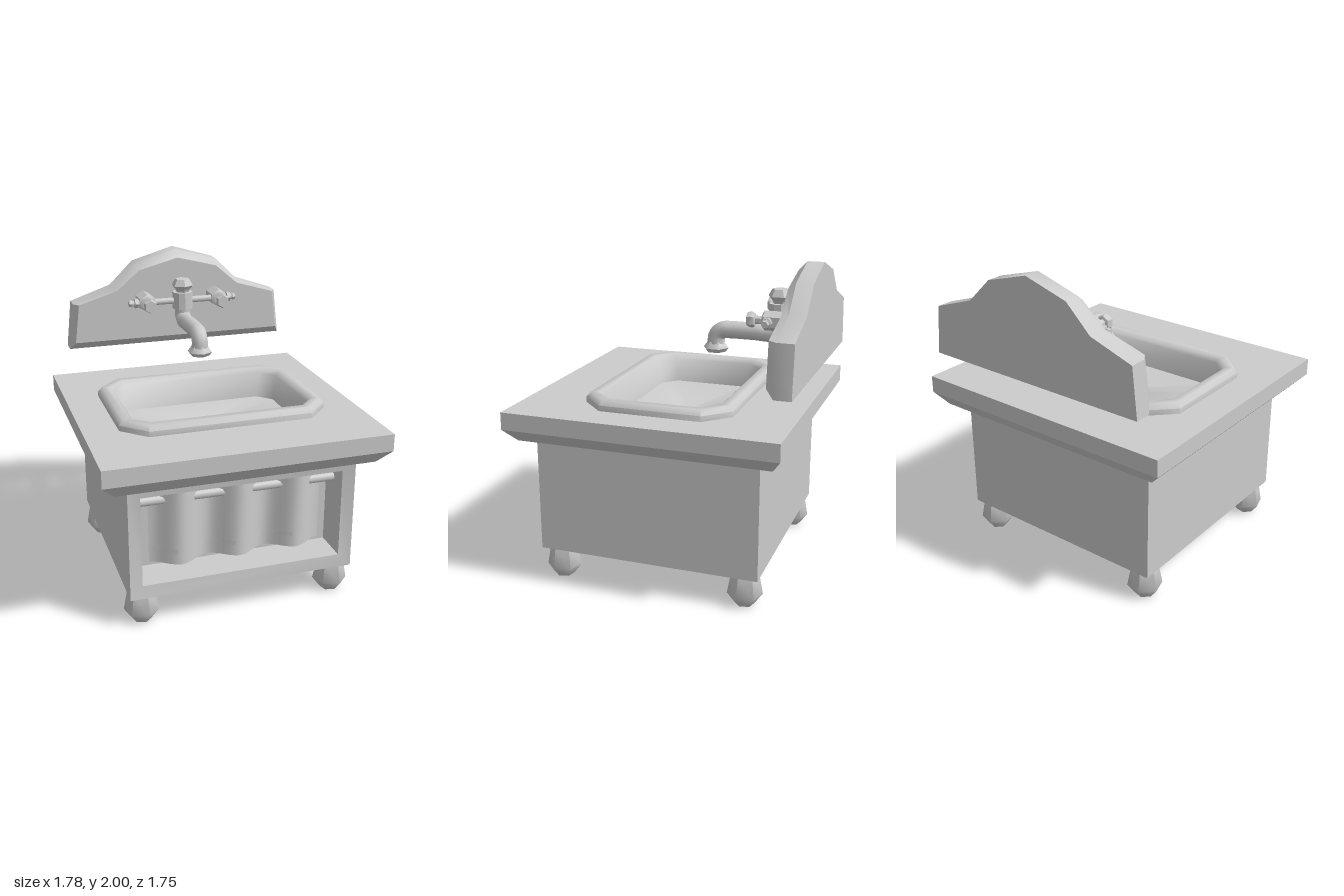
import * as THREE from 'three';
import { toCreasedNormals } from 'three/addons/utils/BufferGeometryUtils.js';

const grey = new THREE.MeshStandardMaterial({ color: 0xcccccc });
const greyDouble = new THREE.MeshStandardMaterial({ color: 0xcccccc, side: THREE.DoubleSide });

function add(parent, name, geometry, x = 0, y = 0, z = 0, material = grey) {
  const mesh = new THREE.Mesh(geometry, material);
  mesh.name = name;
  mesh.position.set(x, y, z);
  parent.add(mesh);
  return mesh;
}

// Skin a series of closed loops with equal point counts; a loop may shrink to one point.
function loft(loops, crease = 0.6) {
  const pos = [];
  const tri = (a, b, c) => {
    const area = new THREE.Triangle(a, b, c).getArea();
    if (area > 1e-8) for (const p of [a, b, c]) pos.push(p.x, p.y, p.z);
  };
  for (let k = 0; k < loops.length - 1; k++) {
    const n = loops[k].length;
    for (let i = 0; i < n; i++) {
      const j = (i + 1) % n;
      const [a, b, c, d] = [loops[k][i], loops[k][j], loops[k + 1][j], loops[k + 1][i]];
      tri(a, d, b);
      tri(b, d, c);
    }
  }
  const geometry = new THREE.BufferGeometry();
  geometry.setAttribute('position', new THREE.Float32BufferAttribute(pos, 3));
  return toCreasedNormals(geometry, crease);
}

// Horizontal rectangle with cut corners.
function cutRect(y, hx, back, front, cut = 0) {
  return [
    [hx, back + cut], [hx, front - cut], [hx - cut, front], [cut - hx, front],
    [-hx, front - cut], [-hx, back + cut], [cut - hx, back], [hx - cut, back],
  ].map(([x, z]) => new THREE.Vector3(x, y, z));
}

// Upright rectangle at depth z.
function uprightRect(z, hx, low, high) {
  return [[-hx, low], [-hx, high], [hx, high], [hx, low]].map(([x, y]) => new THREE.Vector3(x, y, z));
}

// Faceted turned part; points are [radius, height].
function turned(points, sides, crease = 0.6) {
  const geometry = new THREE.LatheGeometry(points.map(([r, y]) => new THREE.Vector2(r, y)), sides);
  return toCreasedNormals(geometry.toNonIndexed(), crease);
}

const waveZ = (x) => 0.6 - 0.045 * Math.cos((2 * Math.PI * (x - 0.19)) / 0.375);

// Sheet that follows the curtain folds.
function foldedSheet(x0, x1, y0, y1, steps, offset = 0) {
  const g = new THREE.PlaneGeometry(x1 - x0, y1 - y0, steps, 1);
  g.translate((x0 + x1) / 2, (y0 + y1) / 2, 0);
  const p = g.attributes.position;
  for (let i = 0; i < p.count; i++) p.setZ(i, waveZ(p.getX(i)) + offset);
  g.computeVertexNormals();
  return g;
}

function makeCabinet() {
  const g = new THREE.Group();
  g.name = 'cabinet';
  // Box with a recessed open front
  add(g, 'cabinetBody', loft([
    uprightRect(-0.69, 0, 0.57, 0.57),
    uprightRect(-0.69, 0.72, 0.2, 0.95),
    uprightRect(0.73, 0.72, 0.2, 0.95),
    uprightRect(0.715, 0.64, 0.28, 0.865),
    uprightRect(0.48, 0.64, 0.28, 0.865),
    uprightRect(0.48, 0, 0.57, 0.57),
  ]));
  // Feet
  const foot = turned([[0, 0], [0.06, 0], [0.11, 0.065], [0.085, 0.2], [0, 0.2]], 6, 0.9);
  for (const x of [-0.63, 0.63]) for (const z of [0.62, -0.59]) {
    add(g, 'foot', foot, x, 0, z).rotation.y = Math.PI / 12;
  }
  // Curtain threaded on a rod, with a row of stitched tabs
  add(g, 'curtainRod', new THREE.CylinderGeometry(0.03, 0.03, 1.28, 8), 0, 0.77, 0.575).rotation.z = Math.PI / 2;
  add(g, 'curtain', foldedSheet(-0.56, 0.56, 0.345, 0.83, 36), 0, 0, 0, greyDouble);
  for (let i = 0; i < 6; i++) {
    const x = -0.47 + i * 0.188;
    add(g, 'curtainTab', foldedSheet(x - 0.067, x + 0.067, 0.42, 0.45, 6, 0.006), 0, 0, 0, greyDouble);
  }
  return g;
}

function makeBasin() {
  const g = new THREE.Group();
  g.name = 'basinTop';
  // Counter slab with a bevelled underside and a hole for the basin
  add(g, 'counter', loft([
    cutRect(0.945, 0.68, -0.65, 0.69),
    cutRect(0.945, 0.81, -0.785, 0.81),
    cutRect(1.03, 0.89, -0.845, 0.875),
    cutRect(1.14, 0.89, -0.845, 0.875),
    cutRect(1.14, 0.63, -0.425, 0.44, 0.13),
  ]));
  // Rounded rim, steep walls and a floor falling to the drain
  const drain = (r, y) => cutRect(y, r, -r, r, r * 0.586);
  add(g, 'sink', loft([
    cutRect(1.13, 0.67, -0.465, 0.48, 0.15),
    cutRect(1.175, 0.67, -0.465, 0.48, 0.15),
    cutRect(1.205, 0.645, -0.44, 0.455, 0.135),
    cutRect(1.205, 0.6, -0.39, 0.405, 0.11),
    cutRect(1.175, 0.57, -0.36, 0.375, 0.09),
    cutRect(1.02, 0.535, -0.31, 0.345, 0.09),
    drain(0.07, 0.97),
    drain(0.05, 0.955),
    drain(0, 0.955),
  ], 0.9));
  return g;
}

function makeSplashback() {
  const half = [[0.77, 1.345], [0.735, 1.66], [0.455, 1.755], [0.29, 1.915]];
  const outline = [...half.map(([x, y]) => [-x, y]), [0, 2], ...half.slice().reverse()];
  const ring = (z, sx, sy) => outline.map(([x, y]) => new THREE.Vector3(x * sx, 1.67 + (y - 1.67) * sy, z));
  const geometry = loft([ring(-0.87, 0, 0), ring(-0.87, 1, 1), ring(-0.765, 1, 1), ring(-0.715, 0.955, 0.84), ring(-0.715, 0, 0)]);
  const mesh = new THREE.Mesh(geometry, grey);
  mesh.name = 'splashback';
  return mesh;
}

function makeTap() {
  const g = new THREE.Group();
  g.name = 'tap';
  const z = -0.605, y = 1.675;
  // Central body and top knob
  add(g, 'tapBody', turned([[0, 1.62], [0.07, 1.62], [0.07, 1.735], [0, 1.735]], 10), 0, 0, z);
  add(g, 'topKnob', turned([[0.045, 1.73], [0.05, 1.75], [0.075, 1.78], [0.05, 1.823], [0, 1.823]], 6, 0.9), 0, 0, z);
  // Spout
  const path = new THREE.CatmullRomCurve3([
    [1.64, z], [1.575, z], [1.545, -0.57], [1.545, -0.45], [1.545, -0.3], [1.54, -0.235], [1.505, -0.2], [1.43, -0.195],
  ].map(([py, pz]) => new THREE.Vector3(0, py, pz)));
  add(g, 'spout', new THREE.TubeGeometry(path, 28, 0.055, 10));
  add(g, 'spoutNozzle', turned([[0, 1.405], [0.065, 1.4], [0.082, 1.425], [0.06, 1.455], [0.05, 1.48]], 6, 0.9), 0, 0, -0.195);
  // Crossbar between the two valves
  add(g, 'crossbar', new THREE.CylinderGeometry(0.022, 0.022, 0.7, 8), 0, y, z).rotation.z = Math.PI / 2;
  const finial = turned([[0.02, -0.025], [0.034, -0.018], [0.034, 0.005], [0.016, 0.012], [0.026, 0.026], [0.02, 0.045], [0, 0.045]], 6, 0.9);
  // Valve: wall sleeve, stem and faceted handle
  const valve = turned([
    [0.06, 0], [0.06, 0.145], [0.045, 0.155], [0.025, 0.155], [0.025, 0.2],
    [0.042, 0.205], [0.05, 0.225], [0.042, 0.25], [0, 0.25],
  ], 6, 0.7);
  for (const s of [-1, 1]) {
    add(g, 'barFinial', finial, s * 0.335, y, z).rotation.z = -s * Math.PI / 2;
    const v = add(g, 'valve', valve, s * 0.255, y, -0.72);
    v.rotation.x = Math.PI / 2;
  }
  return g;
}

export function createModel() {
  const model = new THREE.Group();
  model.name = 'washstand';
  model.add(makeCabinet(), makeBasin(), makeSplashback(), makeTap());
  return model;
}
